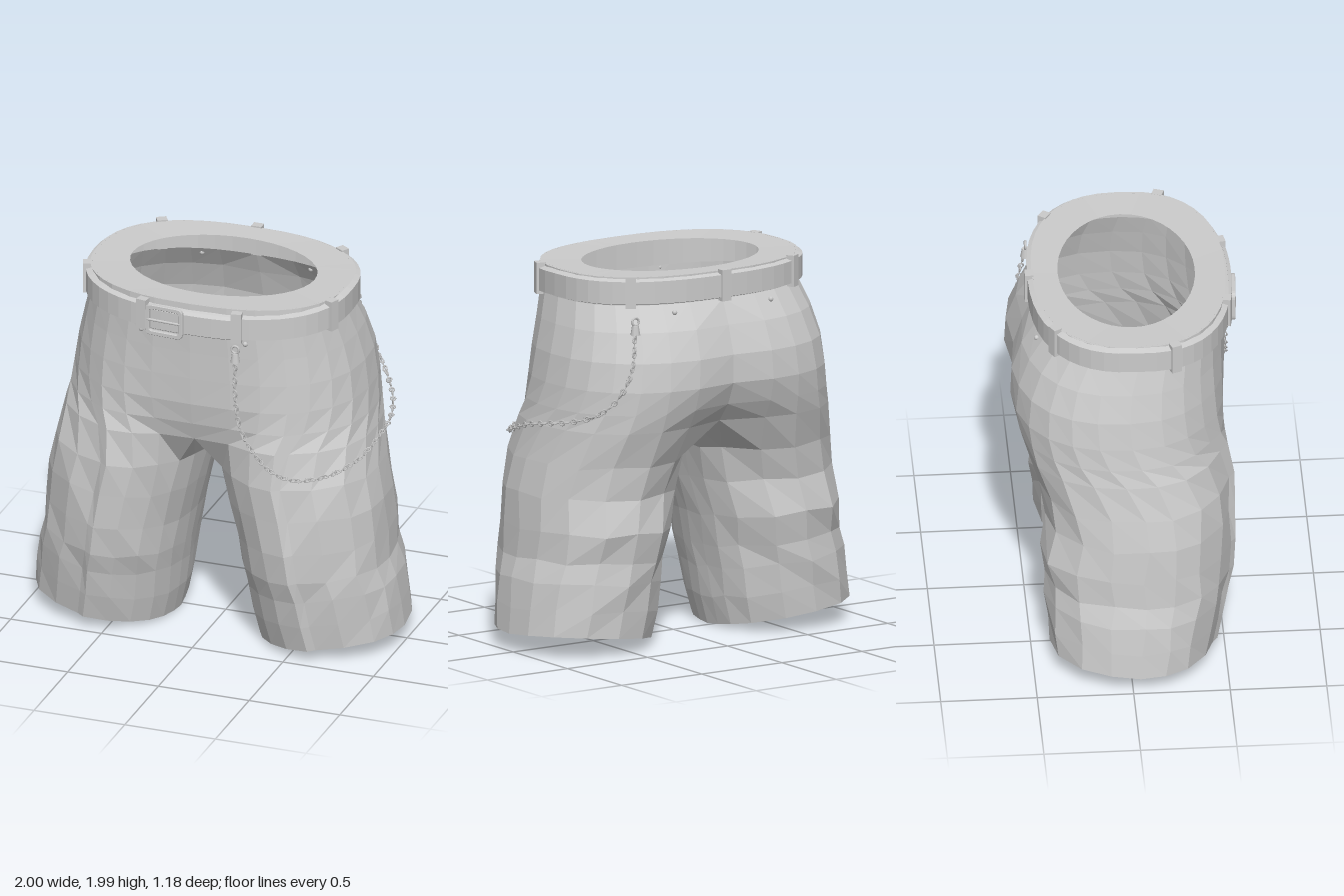
import * as THREE from 'three';

const cloth = new THREE.MeshStandardMaterial({ color: 0xcccccc, flatShading: true, side: THREE.DoubleSide });
const metal = new THREE.MeshStandardMaterial({ color: 0xcccccc });
const lerp = THREE.MathUtils.lerp;

// Skins a list of equally long rings of [x, y, z] points
function loft(rings, closeRing, closeLoft = false) {
  const n = rings[0].length, index = [];
  const rows = closeLoft ? rings.length : rings.length - 1;
  const cols = closeRing ? n : n - 1;
  for (let r = 0; r < rows; r++) {
    for (let c = 0; c < cols; c++) {
      const a = r * n + c, b = r * n + (c + 1) % n, s = (r + 1) % rings.length * n;
      index.push(a, s + c, b, b, s + c, s + (c + 1) % n);
    }
  }
  const geo = new THREE.BufferGeometry();
  geo.setAttribute('position', new THREE.Float32BufferAttribute(rings.flat(2), 3));
  geo.setIndex(index);
  geo.computeVertexNormals();
  return geo;
}

function add(parent, name, geo, mat, x = 0, y = 0, z = 0) {
  const mesh = new THREE.Mesh(geo, mat);
  mesh.name = name;
  mesh.position.set(x, y, z);
  parent.add(mesh);
  return mesh;
}

const soft = (v) => Math.sign(v) * Math.abs(v) ** 0.82;

// Point on the waist outline, angle 0 at the front, running towards +x
function waist(a, grow, y) {
  return [(0.685 + grow) * soft(Math.sin(a)), y, 0.04 + (0.495 + grow) * soft(Math.cos(a))];
}

// Leg outline: u from inner to outer side, v from back to front
const outerLine = [[0.1, 0.62], [0.2, 0.8], [0.34, 0.94], [0.5, 1], [0.55, 0.94], [0.73, 0.83],
  [0.9, 0.6], [0.98, 0.33], [1, 0.03], [0.98, -0.32], [0.9, -0.66], [0.73, -0.92], [0.5, -1], [0.28, -0.92], [0.1, -0.65]];
const innerLine = [[0.03, -0.4], [0.01, -0.18], [0, 0.02], [0.01, 0.2], [0.04, 0.42]];

// Torso levels: y, half width, front z, back z, blend towards the leg outline
const torso = [[1.98, 0.68, 0.535, -0.455, 0], [1.83, 0.69, 0.54, -0.455, 0], [1.7, 0.73, 0.54, -0.54, 0.05],
  [1.55, 0.77, 0.545, -0.595, 0.12], [1.4, 0.795, 0.55, -0.605, 0.2], [1.28, 0.815, 0.55, -0.575, 0.38], [1.18, 0.835, 0.555, -0.53, 0.7]];
// Leg levels: y, inner x, outer x, front z, back z
const leg = [[0.99, 0.035, 0.87, 0.56, -0.45], [0.8, 0.08, 0.905, 0.56, -0.42], [0.6, 0.13, 0.92, 0.56, -0.46],
  [0.43, 0.16, 0.93, 0.55, -0.43], [0.31, 0.18, 0.965, 0.52, -0.43], [0.15, 0.2, 0.985, 0.49, -0.42], [0, 0.235, 1, 0.46, -0.41]];
// Crotch curve on the centre plane: y, z, from back to front
const crotch = [[1.1, -0.25], [1.05, -0.1], [1.03, 0.04], [1.06, 0.18], [1.12, 0.32]];

function halfShorts() {
  const half = new THREE.Group();
  const torsoRings = torso.map(([y, w, zf, zb, t]) => outerLine.map(([u, v], k) => {
    const a = k * Math.PI / 14, c = (zf + zb) / 2, h = (zf - zb) / 2;
    const end = k === 0 || k === 14;
    return [end ? 0 : lerp(w * soft(Math.sin(a)), w * u, t), y,
      c + h * lerp(soft(Math.cos(a)), v, t * (end ? 0.6 : 1)) + (k === 14 && y < 1.8 ? 0.025 : 0)];
  }));
  const groin = [...torsoRings[torsoRings.length - 1], ...crotch.map(([y, z]) => [0, y, z])];
  const legRings = leg.map(([y, xi, xo, zf, zb], r) => [...outerLine, ...innerLine].map(([u, v], k) => {
    const tilt = (0.09 * u + (v < 0 ? -0.05 : 0.015) * v) * (1 - y);
    const wrinkle = 0.008 * Math.sin(k * 2.4 + r * 1.9) * (y > 0 && k !== 3 ? 1 : 0);
    return [lerp(xi, xo, u), y + tilt + wrinkle, (zf + zb) / 2 + (zf - zb) / 2 * v + wrinkle];
  }));
  add(half, 'hip', loft(torsoRings, false), cloth);
  add(half, 'leg', loft([groin, ...legRings], true), cloth);
  return half;
}

// Band that follows the waist between two angles
function band(from, to, steps, inner, outer, low, high) {
  const rings = [];
  for (let i = 0; i <= steps; i++) {
    const a = lerp(from, to, i / steps), sag = -0.025 * Math.max(0, Math.cos(a));
    rings.push([[inner, low], [outer, low + 0.012], [outer, high - 0.012], [inner, high]]
      .map(([g, y]) => waist(a, g, y + sag)));
  }
  return loft(rings, true);
}

function roundedFrame(w, h, bar, r) {
  const trace = (path, x, y, q) => {
    path.moveTo(-x + q, -y);
    path.lineTo(x - q, -y); path.quadraticCurveTo(x, -y, x, -y + q);
    path.lineTo(x, y - q); path.quadraticCurveTo(x, y, x - q, y);
    path.lineTo(-x + q, y); path.quadraticCurveTo(-x, y, -x, y - q);
    path.lineTo(-x, -y + q); path.quadraticCurveTo(-x, -y, -x + q, -y);
    return path;
  };
  const shape = trace(new THREE.Shape(), w / 2, h / 2, r);
  shape.holes.push(trace(new THREE.Path(), w / 2 - bar, h / 2 - bar, r * 0.6));
  return new THREE.ExtrudeGeometry(shape, { depth: 0.016, bevelSize: 0.003, bevelThickness: 0.003, bevelSegments: 1, curveSegments: 4 });
}

function buildChain() {
  const chain = new THREE.Group();
  chain.name = 'chain';
  const curve = new THREE.CatmullRomCurve3([[0.26, 1.7, 0.56], [0.26, 1.5, 0.56], [0.29, 1.32, 0.56], [0.36, 1.2, 0.565],
    [0.46, 1.11, 0.57], [0.58, 1.075, 0.56], [0.72, 1.07, 0.44], [0.83, 1.11, 0.27], [0.88, 1.18, 0.05], [0.875, 1.21, -0.1],
    [0.82, 1.24, -0.27], [0.74, 1.29, -0.4], [0.66, 1.38, -0.47], [0.59, 1.52, -0.49], [0.55, 1.72, -0.46]]
    .map((p) => new THREE.Vector3(...p)));
  add(chain, 'chainWire', new THREE.TubeGeometry(curve, 90, 0.003, 4), metal);
  const linkGeo = new THREE.TorusGeometry(0.013, 0.0045, 4, 8).scale(1.25, 1, 1);
  const count = 32, axis = new THREE.Vector3(1, 0, 0);
  for (let i = 0; i < count; i++) {
    for (let j = 0; j < 2; j++) {
      const t = (i + 0.4 + j * 0.33) / count;
      const link = add(chain, 'chainLink', linkGeo, metal);
      link.position.copy(curve.getPointAt(t));
      link.quaternion.setFromUnitVectors(axis, curve.getTangentAt(t));
      link.rotateX(j * Math.PI / 2 + 0.3);
    }
  }
  // Clasps hanging from the belt loops
  for (const [x, z] of [[0.26, 0.56], [0.545, -0.455]]) {
    add(chain, 'claspBody', new THREE.CylinderGeometry(0.018, 0.026, 0.05, 8), metal, x, 1.725, z);
    add(chain, 'claspRing', new THREE.TorusGeometry(0.02, 0.007, 6, 12), metal, x, 1.77, z);
  }
  return chain;
}

export function createModel() {
  const model = new THREE.Group();
  model.name = 'shorts';
  const left = halfShorts(), right = halfShorts();
  left.name = 'leftHalf';
  right.name = 'rightHalf';
  right.scale.x = -1;
  model.add(left, right);

  // Flat inner rim of the waistband
  const angles = Array.from({ length: 40 }, (_, i) => i * Math.PI / 20);
  add(model, 'waistRim', loft([
    angles.map((a) => [0.5 * Math.sin(a), 1.975, 0.03 + 0.355 * Math.cos(a)]),
    angles.map((a) => waist(a, 0.005, 1.98)),
  ], true), cloth);

  // Belt and its overlapping end
  add(model, 'belt', band(0, 2 * Math.PI, 48, -0.01, 0.028, 1.83, 1.972), cloth);
  const end = new THREE.Group();
  end.name = 'beltEnd';
  add(end, 'beltEndStrip', band(-0.28, 0.26, 8, 0.02, 0.04, 1.835, 1.965), cloth);
  model.add(end);

  // Belt loops
  for (const a of [-0.3, 0.3, -1.25, 1.25, -2.44, 2.4, Math.PI]) {
    const [x, , z] = waist(a, 0.018, 0);
    const p = waist(a - 0.03, 0, 0), q = waist(a + 0.03, 0, 0);
    const front = Math.max(0, Math.cos(a)) * 0.02;
    const loop = add(model, 'beltLoop', new THREE.BoxGeometry(0.055, 0.165, 0.045), cloth, x, 1.905 - front, z);
    loop.rotation.y = Math.atan2(p[2] - q[2], q[0] - p[0]);
  }

  // Buckle with prong
  const buckle = new THREE.Group();
  buckle.name = 'buckle';
  add(buckle, 'buckleFrame', roundedFrame(0.205, 0.165, 0.018, 0.03), metal);
  add(buckle, 'bucklePin', new THREE.CylinderGeometry(0.007, 0.007, 0.19, 8).rotateZ(Math.PI / 2), metal, 0, 0, 0.014);
  buckle.position.set(-0.125, 1.875, 0.568);
  buckle.rotation.y = -0.06;
  model.add(buckle);

  // Small rivets under the belt
  for (const [x, z] of [[0.3, 0.52], [-0.27, 0.525], [-0.3, -0.455], [0.3, -0.455]]) {
    add(model, 'rivet', new THREE.SphereGeometry(0.014, 8, 6), metal, x, 1.79, z);
  }

  model.add(buildChain());
  return model;
}
